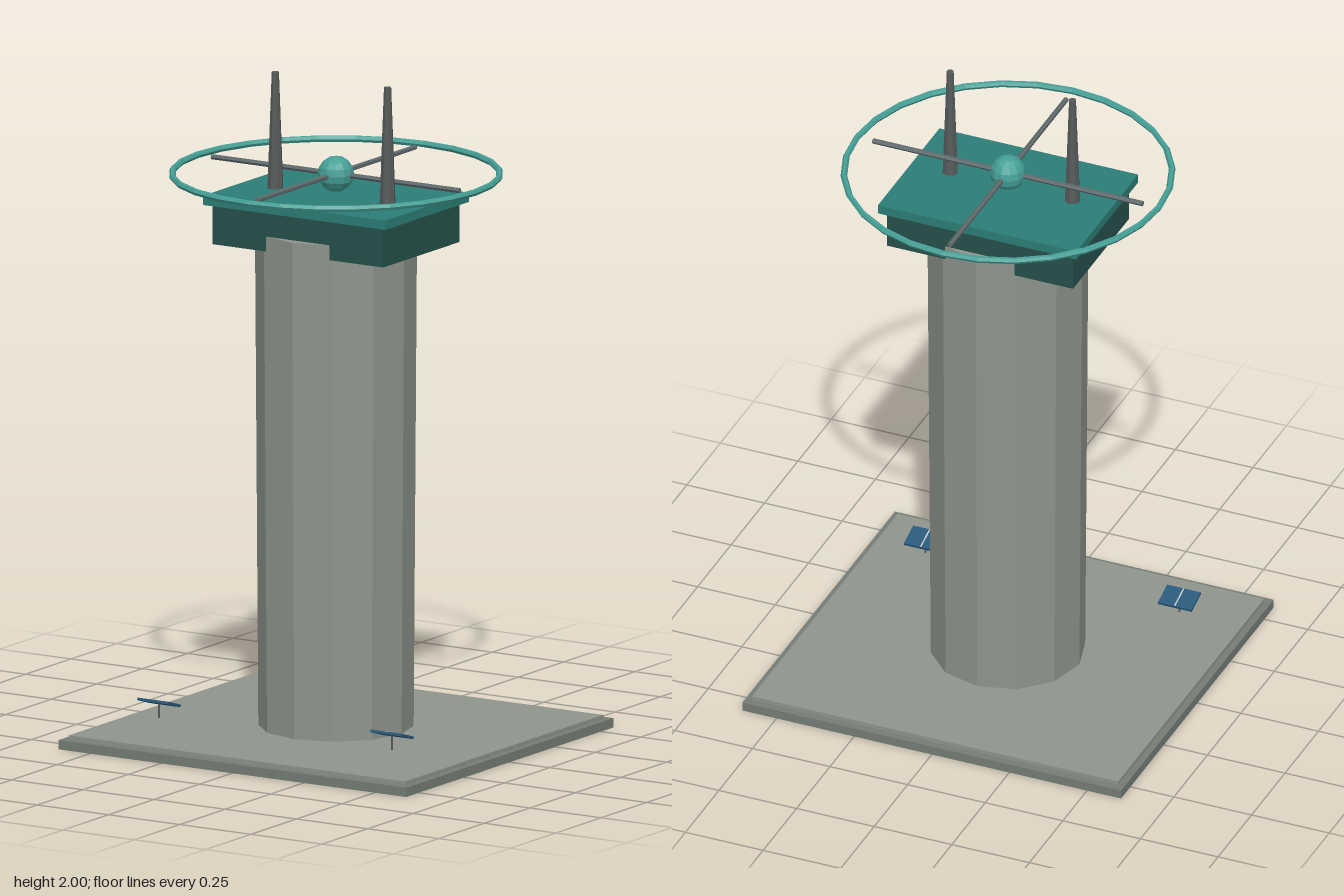
import * as THREE from 'three';

const mat = (color) => new THREE.MeshStandardMaterial({ color, flatShading: true });

export function createModel() {
  const model = new THREE.Group();
  const concrete = mat(0x8f948d), edge = mat(0x757d76), teal = mat(0x2c7d76), darkTeal = mat(0x26504b);
  const ringTeal = mat(0x45a096), steel = mat(0x5f6a6c), mastGrey = mat(0x565b5b);
  const blue = mat(0x27587a), pale = mat(0xcccccc);

  const add = (parent, name, geometry, material, x = 0, y = 0, z = 0) => {
    const mesh = new THREE.Mesh(geometry, material);
    mesh.name = name;
    mesh.position.set(x, y, z);
    parent.add(mesh);
    return mesh;
  };
  const box = (w, h, d) => new THREE.BoxGeometry(w, h, d);

  // Stepped base
  add(model, 'baseSlab', box(1.22, 0.028, 1.14), edge, 0, 0.014, 0);
  add(model, 'basePlatform', box(1.18, 0.014, 1.09), concrete, 0, 0.033, 0);

  // Twelve-sided shaft, slightly wider at the top
  add(model, 'towerShaft', new THREE.CylinderGeometry(0.24, 0.23, 1.505, 12), concrete, 0, 0.7925, 0);

  // Cabin and roof
  add(model, 'cabin', box(0.6, 0.122, 0.42), darkTeal, 0, 1.561, 0);
  add(model, 'roof', box(0.64, 0.028, 0.46), teal, 0, 1.634, 0);

  // Ring with crossed spokes and a round hub
  const rotor = new THREE.Group();
  rotor.name = 'rotor';
  rotor.position.y = 1.71;
  model.add(rotor);
  add(rotor, 'rotorRing', new THREE.TorusGeometry(0.486, 0.01, 6, 28), ringTeal).rotation.x = Math.PI / 2;
  const spoke = new THREE.CylinderGeometry(0.008, 0.008, 0.87, 6);
  add(rotor, 'spokeAcross', spoke, steel).rotation.z = Math.PI / 2;
  add(rotor, 'spokeAlong', spoke, steel).rotation.x = Math.PI / 2;
  add(rotor, 'rotorHub', new THREE.SphereGeometry(0.054, 12, 8), ringTeal);

  for (const side of [-1, 1]) {
    const label = side > 0 ? 'left' : 'right';

    // Tapered mast on the roof
    add(model, label + 'Mast', new THREE.CylinderGeometry(0.011, 0.024, 0.352, 8), mastGrey, side * 0.197, 1.824, 0.025);

    // Small tilted panel on a post
    const stand = new THREE.Group();
    stand.name = label + 'SolarPanel';
    stand.position.set(side * 0.409, 0.122, 0.332);
    model.add(stand);
    add(stand, 'post', new THREE.CylinderGeometry(0.003, 0.003, 0.046, 6), mastGrey, 0, -0.024, 0);
    const panel = new THREE.Group();
    panel.name = 'panel';
    panel.rotation.x = -0.3;
    stand.add(panel);
    add(panel, 'panelPlate', box(0.108, 0.008, 0.073), blue);
    add(panel, 'panelDivider', box(0.004, 0.002, 0.07), pale, 0, 0.0045, 0);
  }
  return model;
}
